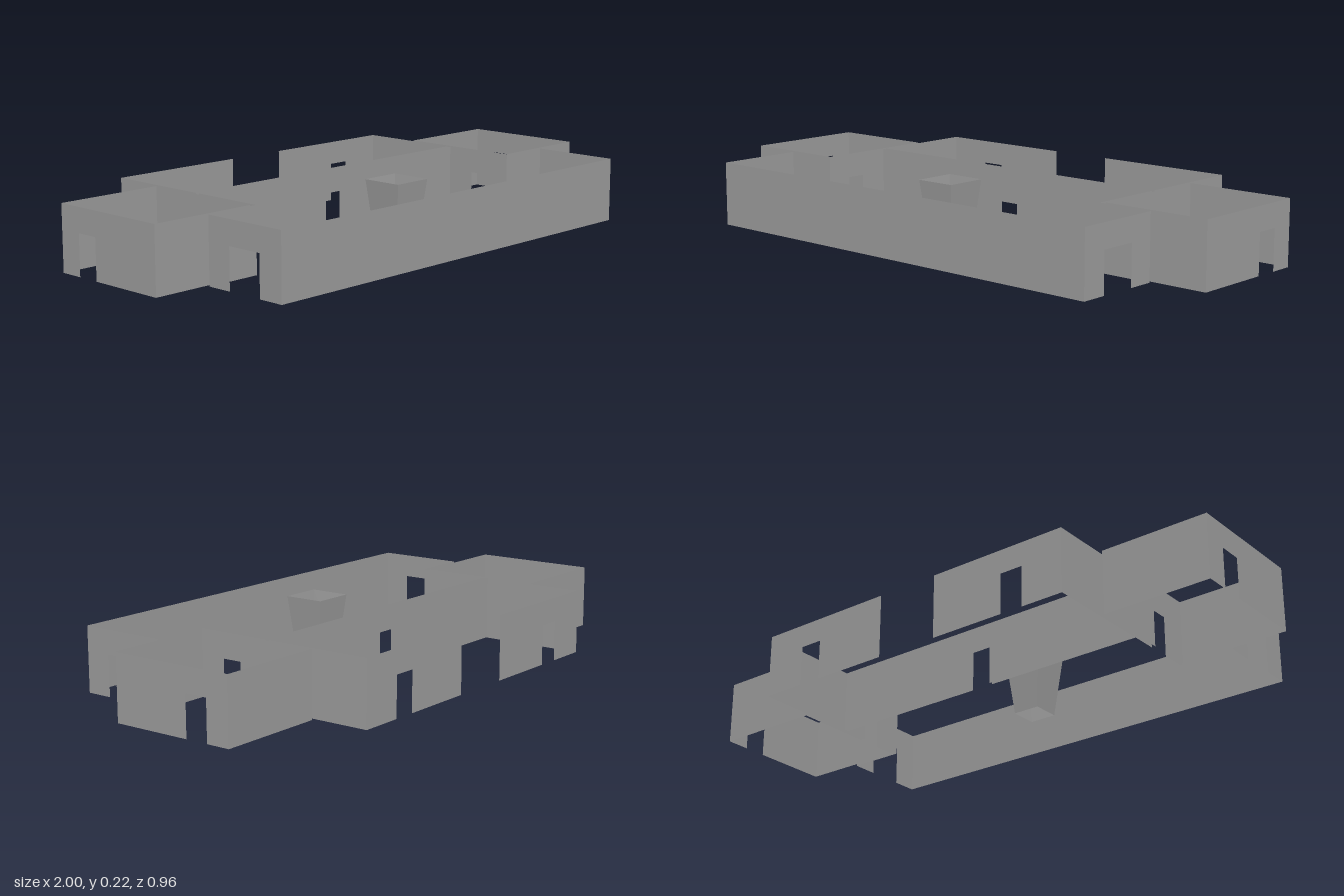
import * as THREE from 'three';

const H = 0.22, DOOR_H = 0.138;
const mat = new THREE.MeshStandardMaterial({ color: 0x9c9c9c, side: THREE.DoubleSide, flatShading: true });

// Thin wall between two plan points [x, z]; door = [start, end] along the wall
function wall(name, a, b, door) {
  const dx = b[0] - a[0], dz = b[1] - a[1], len = Math.hypot(dx, dz);
  const pts = [[0, 0]];
  if (door) pts.push([door[0], 0], [door[0], DOOR_H], [door[1], DOOR_H], [door[1], 0]);
  pts.push([len, 0], [len, H], [0, H]);
  const shape = new THREE.Shape(pts.map(p => new THREE.Vector2(...p)));
  const mesh = new THREE.Mesh(new THREE.ShapeGeometry(shape), mat);
  mesh.name = name;
  mesh.position.set(a[0], 0, a[1]);
  mesh.rotation.y = Math.atan2(-dz, dx);
  return mesh;
}

export function createModel() {
  const model = new THREE.Group();
  model.name = 'floorPlanWalls';
  const group = name => {
    const g = new THREE.Group();
    g.name = name;
    model.add(g);
    return g;
  };

  // Plan lines: neighbouring rooms keep a narrow gap between their walls
  const front = 0.48, back = -0.48, hallX = 0.804, innerX = 0.61, roomX = 0.623;
  const hallStep = 0.17, roomFront = 0.157, roomBack = -0.284;
  const hallBack = -0.093, rearFront = -0.106;

  const hall = group('mainHall');
  const rear = group('rearRoom');
  hall.add(wall('hallFrontWall', [-hallX, front], [hallX, front]));
  hall.add(wall('hallBackWall', [-innerX, hallBack], [innerX, hallBack], [innerX - 0.04, innerX + 0.04]));
  rear.add(wall('rearRoomFrontWall', [-innerX, rearFront], [innerX, rearFront], [innerX - 0.04, innerX + 0.04]));

  for (const [side, s] of [['left', 1], ['right', -1]]) {
    // Hall end: wide doorway, step inward, then the wall shared with the side room
    hall.add(wall(side + 'HallEndWall', [s * hallX, front], [s * hallX, hallStep], [0.091, 0.22]));
    hall.add(wall(side + 'HallStepWall', [s * hallX, hallStep], [s * innerX, hallStep]));
    hall.add(wall(side + 'HallSideWall', [s * innerX, hallStep], [s * innerX, hallBack], [hallStep - 0.078, hallStep + 0.002]));

    // Rear room, open in the middle of its back wall
    rear.add(wall(side + 'RearSideWall', [s * innerX, rearFront], [s * innerX, back]));
    rear.add(wall(side + 'RearBackWall', [s * innerX, back], [s * 0.112, back], [innerX - 0.46, innerX - 0.38]));

    // Side room
    const room = group(side + 'SideRoom');
    room.add(wall('roomFrontWall', [s * roomX, roomFront], [s, roomFront]));
    room.add(wall('roomOuterWall', [s, roomFront], [s, roomBack], [roomFront + 0.121, roomFront + 0.201]));
    room.add(wall('roomBackWall', [s, roomBack], [s * roomX, roomBack]));
    room.add(wall('roomInnerWall', [s * roomX, roomFront], [s * roomX, roomBack], [roomFront - 0.078, roomFront + 0.002]));
  }

  // Tapered square pillar, open at both ends
  const pillar = new THREE.Mesh(
    new THREE.CylinderGeometry(0.072 * Math.SQRT2, 0.048 * Math.SQRT2, H, 4, 1, true).rotateY(Math.PI / 4), mat);
  pillar.name = 'taperedPillar';
  pillar.position.set(0, H / 2, 0.193);
  model.add(pillar);

  return model;
}
